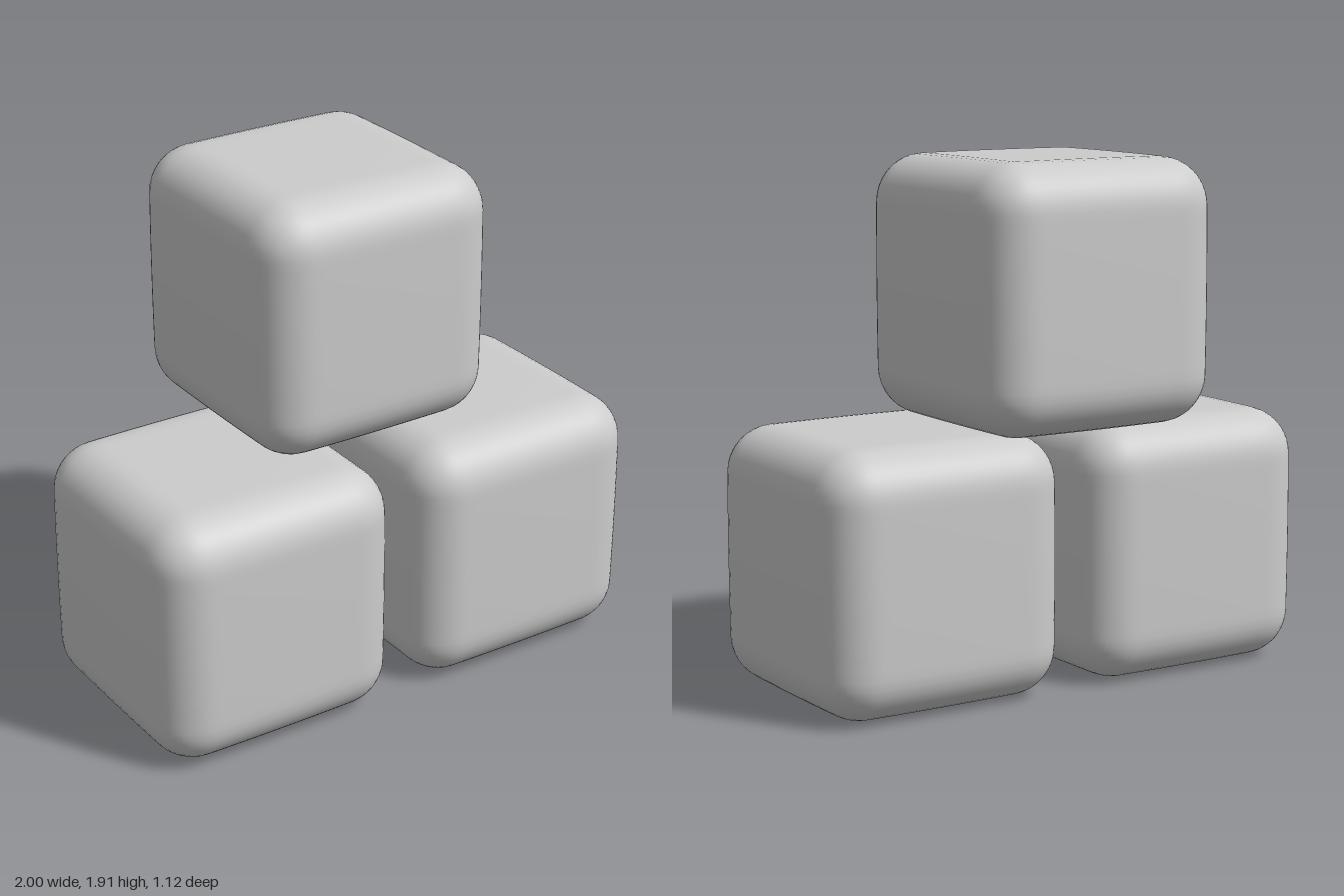
import * as THREE from 'three';
import { mergeVertices } from 'three/addons/utils/BufferGeometryUtils.js';

const SIZE = 0.95, RADIUS = 0.17, BULGE = 0.008;

// Cube with rounded edges and very slightly pillowed faces
function softCube() {
  const h = SIZE / 2, inner = h - RADIUS;
  let geo = new THREE.BoxGeometry(SIZE, SIZE, SIZE, 28, 28, 28);
  geo.deleteAttribute('uv');
  geo.deleteAttribute('normal');
  geo = mergeVertices(geo);
  const pos = geo.attributes.position;
  const p = new THREE.Vector3(), core = new THREE.Vector3();
  for (let i = 0; i < pos.count; i++) {
    p.fromBufferAttribute(pos, i);
    core.copy(p).clampScalar(-inner, inner);
    p.sub(core).setLength(RADIUS).add(core);
    const x = (p.x / h) ** 2, y = (p.y / h) ** 2, z = (p.z / h) ** 2;
    pos.setXYZ(i,
      p.x * (1 - BULGE * (y + z)),
      p.y * (1 - BULGE * (x + z)),
      p.z * (1 - BULGE * (x + y)));
  }
  geo.computeVertexNormals();
  return geo;
}

export function createModel() {
  const group = new THREE.Group();
  group.name = 'stackedCubes';
  const grey = new THREE.MeshStandardMaterial({ color: 0xcccccc });
  grey.name = 'lightGrey';
  const geo = softCube();

  // Two cubes side by side, one resting on top and set back
  const cubes = [
    ['leftCube', 0.525, 0.478, 0.087],
    ['rightCube', -0.525, 0.478, 0.087],
    ['topCube', 0, 1.438, -0.087],
  ];
  for (const [name, x, y, z] of cubes) {
    const cube = new THREE.Mesh(geo, grey);
    cube.name = name;
    cube.position.set(x, y, z);
    group.add(cube);
  }
  return group;
}
